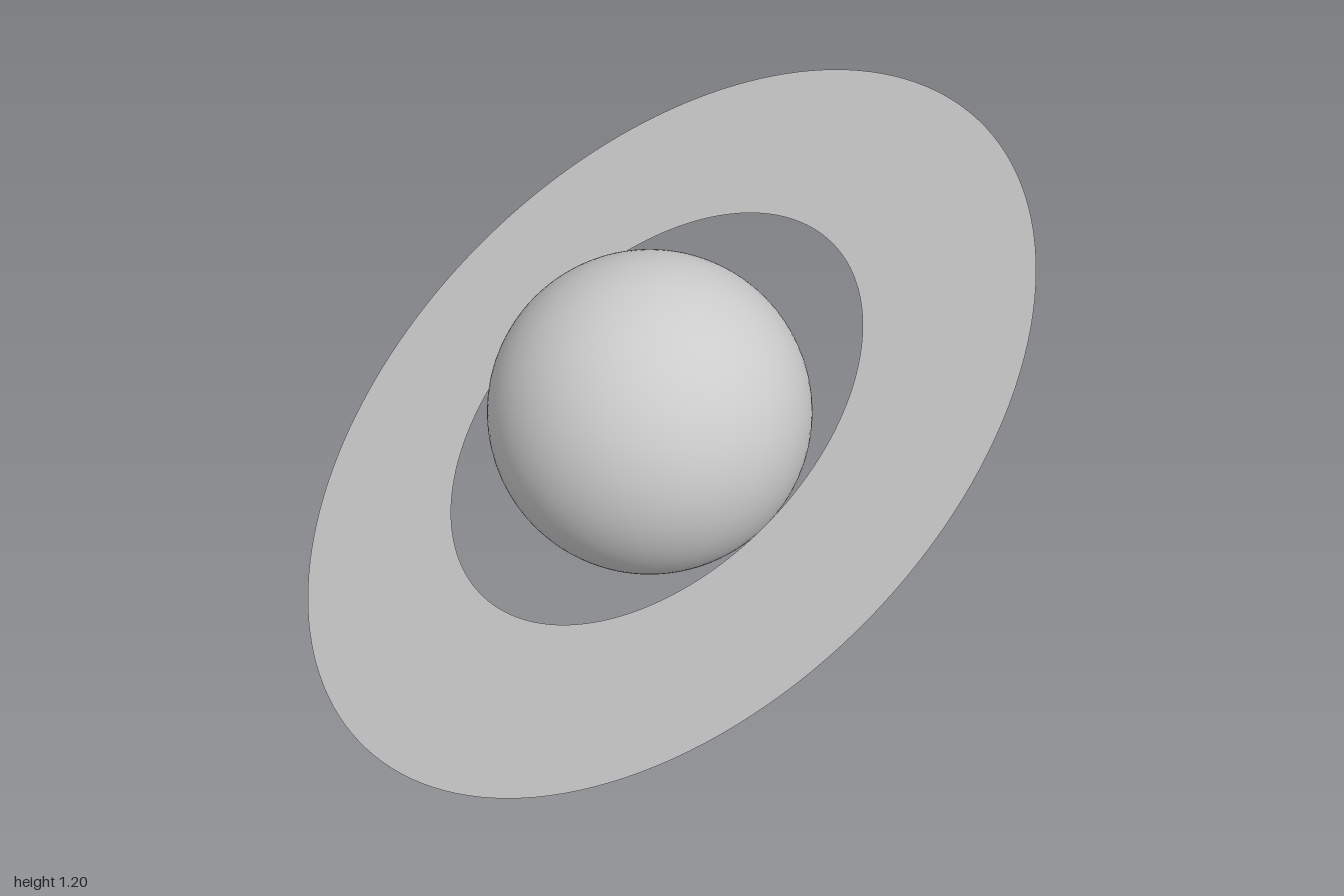
import * as THREE from 'three';

export function createModel() {
  const model = new THREE.Group();
  const centreY = 0.602;

  // Direction the ring plane faces: tipped toward -x and slightly forward
  const ringAxis = new THREE.Vector3(-0.514, 0.815, 0.267).normalize();
  const tilt = new THREE.Quaternion().setFromUnitVectors(new THREE.Vector3(0, 0, 1), ringAxis);

  // Smooth round body
  const planet = new THREE.Mesh(
    new THREE.SphereGeometry(0.387, 96, 64),
    new THREE.MeshStandardMaterial({ color: 0xcccccc })
  );
  planet.name = 'planet';
  planet.position.y = centreY;
  model.add(planet);

  // Flat tilted ring, visible from both sides
  const ring = new THREE.Mesh(
    new THREE.RingGeometry(0.59, 1.038, 160, 1),
    new THREE.MeshStandardMaterial({ color: 0xcccccc, side: THREE.DoubleSide })
  );
  ring.name = 'ring';
  ring.position.y = centreY;
  ring.quaternion.copy(tilt);
  model.add(ring);

  return model;
}
